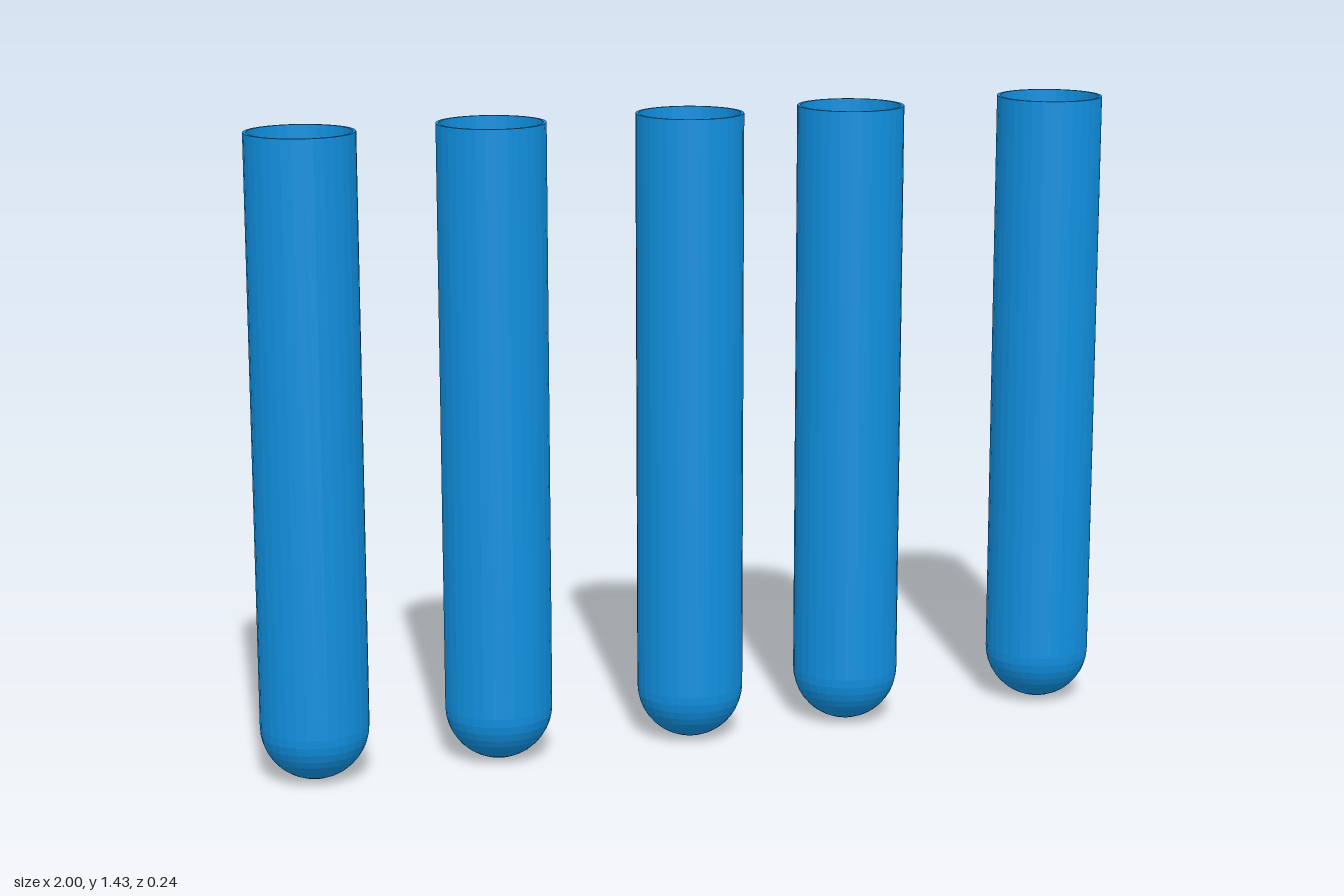
import * as THREE from 'three';

const RADIUS = 0.12, WALL = 0.007, HEIGHT = 1.43, SIDES = 32, RINGS = 10;

// Quarter arc from the bottom pole up to the side, centred at y = RADIUS
function arc(r) {
  return Array.from({ length: RINGS + 1 }, (_, i) => {
    const a = (i / RINGS) * Math.PI / 2;
    return new THREE.Vector2(r * Math.sin(a), RADIUS - r * Math.cos(a));
  });
}

export function createModel() {
  const group = new THREE.Group();
  const material = new THREE.MeshStandardMaterial({ color: 0x1090e0, flatShading: true });

  // Closed wall profile: outside going up, over the rim, inside going down
  const inner = RADIUS - WALL;
  const profile = [
    ...arc(RADIUS),
    new THREE.Vector2(RADIUS, HEIGHT),
    new THREE.Vector2(inner, HEIGHT),
    ...arc(inner).reverse(),
  ];
  const geometry = new THREE.LatheGeometry(profile, SIDES);

  // Row of unevenly spaced round-bottomed tubes
  [-0.88, -0.457, 0, 0.385, 0.88].forEach((x, i) => {
    const tube = new THREE.Mesh(geometry, material);
    tube.name = `testTube${i + 1}`;
    tube.position.x = x;
    group.add(tube);
  });
  return group;
}
